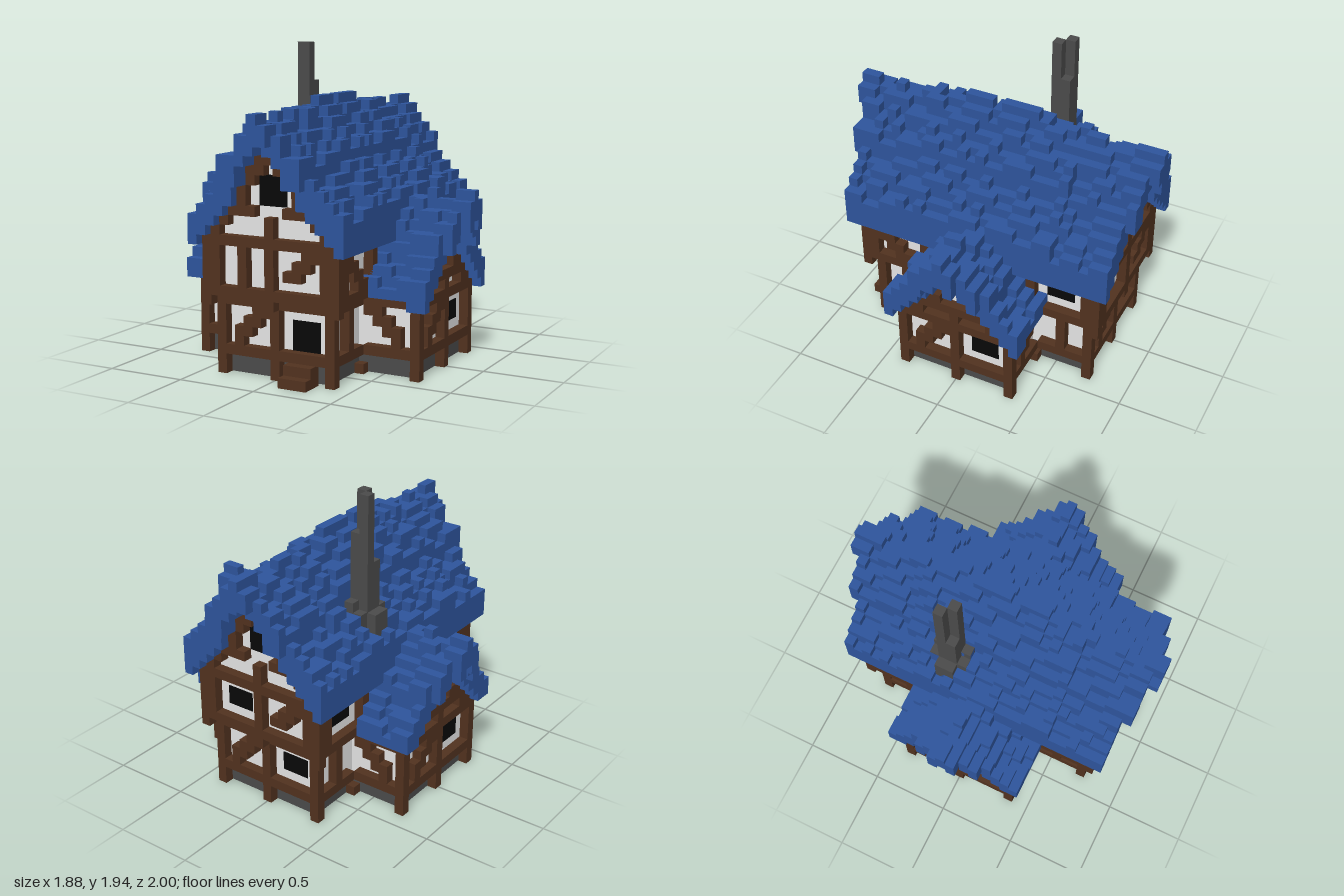
import * as THREE from 'three';
import { mergeGeometries } from 'three/addons/utils/BufferGeometryUtils.js';

const U = 2 / 33; // size of one block
const mat = (name, color) => Object.assign(new THREE.MeshStandardMaterial({ color }), { name });

// Box given by its limits, in blocks
function block(x0, x1, y0, y1, z0, z1) {
  return new THREE.BoxGeometry((x1 - x0) * U, (y1 - y0) * U, (z1 - z0) * U)
    .translate((x0 + x1) / 2 * U, (y0 + y1) / 2 * U, (z0 + z1) / 2 * U);
}

// Box centred on the vertical axis, by half widths
const core = (hx, y0, y1, hz) => block(-hx, hx, y0, y1, -hz, hz);
const mirror = rows => rows.map(r => [...r].reverse().join(''));

function seeded(seed) {
  return () => (seed = (seed * 16807) % 2147483647) / 2147483647;
}

// Facade patterns, top row first: # timber, W dark opening, . plaster
const lowerWindow = [
  '#############',
  '#...###.....#',
  '#..##.#.WWW.#',
  '#.##..#.WWW.#',
  '#.#...#.....#',
  '#############',
  '#.....#.....#',
  '#.....#.....#'];
const lowerDoor = lowerWindow.slice();
lowerDoor[4] = '#.#...#.WWW.#';
const wingWindow = ['######', '#.....', '#.WWW.', '#.WWW.', '#.....', '######', '#.....', '#.....'];
const wingBrace = ['######', '##...#', '.##..#', '..##.#', '...#.#', '######', '.....#', '.....#'];
const slats = ['######', '..#..#', '..#..#', '..#..#', '..#..#', '######', '.....#', '.....#'];
const gableTop = [
  '.......#.......',
  '......###......',
  '.....##.##.....',
  '.....#WWW#.....',
  '....#.WWW.#....',
  '....#.WWW.#....',
  '..####...####..',
  '..#....#....#..',
  '.#.....#.....#.',
  '###############'];
const gableFront = [...gableTop,
  '##..#..#...####',
  '##..#..#..##.##',
  '##..#..#.##..##',
  '##..#..#.....##',
  '###############',
  '#......#......#'];
const gableBack = [...gableTop,
  '##.....#...####',
  '##.WWW.#..##.##',
  '##.WWW.#.##..##',
  '##.....#.....##',
  '###############',
  '#......#......#'];
const upperRow = (l, r) => `##${l}#...........#${r}##`;
const upperSide = [
  upperRow('#....', '.....'),
  upperRow('##...', '.WWW.'),
  upperRow('.##..', '.WWW.'),
  upperRow('..##.', '.....'),
  '#'.repeat(27),
  '#......#...........#......#'];
const wingGable = [
  '......#......',
  '.....###.....',
  '....#...#....',
  '...#.....#...',
  '...##...##...',
  '..#########..',
  '.##...#...##.'];

export function createModel() {
  const model = new THREE.Group();
  model.name = 'timberHouse';
  const blue = mat('roofBlue', 0x2e559d), brown = mat('timberBrown', 0x52321f);
  const white = mat('plasterWhite', 0xe6e6e6), grey = mat('stoneGrey', 0x4b4b4b);
  const black = mat('openingBlack', 0x080808);

  function add(name, geos, material, parent = model) {
    const mesh = new THREE.Mesh(mergeGeometries(geos), material);
    mesh.name = name;
    parent.add(mesh);
  }

  // One timbered wall; turn counts quarter turns from the front
  function facade(name, turn, depth, x0, yTop, rows) {
    const group = new THREE.Group();
    group.name = name;
    group.rotation.y = turn * Math.PI / 2;
    const timber = [], panes = [];
    rows.forEach((row, r) => {
      const y = yTop - r;
      for (const m of row.matchAll(/#+|W+/g)) {
        const a = x0 + m.index - 0.5, b = a + m[0].length;
        if (m[0][0] === '#') timber.push(block(a, b, y, y + 1, depth - 1, depth));
        else panes.push(block(a, b, y, y + 1, depth - 1, depth - 0.92));
      }
    });
    add('timbers', timber, brown, group);
    if (panes.length) add('openings', panes, black, group);
    model.add(group);
  }

  for (let k = 0; k < 4; k++) {
    facade('lowerWall', k, 12.5, -6, 7, k ? lowerWindow : lowerDoor);
    const right = k % 2 ? slats : wingBrace;
    facade('lowerReturnLeft', k, 6.5, -12, 7, k ? mirror(right) : wingWindow);
    facade('lowerReturnRight', k, 6.5, 7, 7, right);
    if (k % 2) {
      facade('upperSideWall', k, 7.5, -13, 12, k === 1 ? upperSide : mirror(upperSide));
      facade('wingGable', k, 12.5, -6, 14, wingGable);
    } else {
      facade('mainGable', k, 13.5, -7, 22, k ? gableBack : gableFront);
    }
  }

  // Roof profiles: top and underside for each step away from the ridge
  const mainTop = [27, 26, 25, 24, 23, 21, 20, 19, 18];
  const mainUnder = [23, 22, 21, 19, 17, 16, 15, 14, 13];
  const wingTop = [18, 17, 16, 15, 14, 12, 11, 10];
  const wingUnder = [15, 14, 13, 11, 10, 9, 8, 7];

  // Plaster bodies, stepped up into the gables
  const plaster = [core(5.5, 2, 7.5, 11.5), core(11.5, 2, 7.5, 5.5), core(6.5, 7.5, 14, 12.5)];
  mainUnder.slice(0, 7).forEach((y, i) => plaster.push(core(i + 0.5, 13, y, 12.5)));
  wingUnder.slice(0, 6).forEach((y, i) => plaster.push(core(11.5, 7, y, i + 0.5)));
  add('plasterWalls', plaster, white);
  add('jettyBeams', [core(7.4, 7.95, 8.1, 13.4), core(6.5, 7, 8, 12.4), core(12.4, 7, 7.9, 6.4)], brown);

  // Stone base, dark floor and the post ends in it
  add('foundation', [core(5.5, 0.04, 2, 11.5), core(11.5, 0.04, 2, 5.5)], grey);
  add('floor', [core(5.3, 0.02, 0.1, 11.3), core(11.3, 0.02, 0.1, 5.3)], black);
  const posts = [];
  for (let x = -12; x <= 12; x += 6) {
    for (let z = -12; z <= 12; z += 6) {
      if (Math.min(Math.abs(x), Math.abs(z)) <= 6) posts.push(block(x - 0.5, x + 0.5, 0, 1, z - 0.5, z + 0.5));
    }
  }
  add('floorPosts', posts, brown);
  add('doorSteps', [block(1.5, 4.5, 0, 1, 12, 14.5), block(1.5, 4.5, 1, 2, 12, 13.5)], brown);

  // Rough shingles: runs of uneven height along each step of the roof
  const rand = seeded(77);
  const ridge = '110010011011222122221011011000111';
  const main = [];
  for (let x = -8; x <= 8; x++) {
    const i = Math.abs(x), end = i < 2 ? 16 : i < 5 ? 15 : 14;
    let run = 0, bump = 0;
    for (let z = -end; z <= end; z++) {
      if (run-- <= 0) {
        run = Math.floor(rand() * 3);
        bump = 1 - bump;
      }
      const lift = x === 0 ? Number(ridge[16 - z]) : bump + (Math.abs(z) < 9 ? 1 : 0);
      const over = Math.abs(z) === 16 ? 23 : Math.abs(z) === 15 ? 19 : 0;
      main.push(block(x - 0.5, x + 0.5, Math.max(mainUnder[i], over), mainTop[i] - 2 + lift, z - 0.5, z + 0.5));
    }
  }
  add('mainRoof', main, blue);

  const wing = [];
  for (const s of [-1, 1]) {
    for (let z = -7; z <= 7; z++) {
      const j = Math.abs(z), end = j < 2 ? 15 : j < 4 ? 14 : 13;
      let run = 0, bump = 0;
      for (let d = end; d >= 7; d--) {
        if (run-- <= 0) {
          run = Math.floor(rand() * 3);
          bump = 1 - bump;
        }
        const lift = z === 0 ? Number(ridge[15 - d]) : bump;
        const eave = j === 7 && s * d < 12 ? 8 : wingUnder[j];
        const over = d === 15 ? 14 : d === 14 ? 12 : 0;
        wing.push(block(s * d - 0.5, s * d + 0.5, Math.max(eave, over), wingTop[j] - 1 + lift, z - 0.5, z + 0.5));
      }
    }
  }
  add('wingRoofs', wing, blue);

  // Chimney: two tall flues set diagonally, with lower buttresses around
  add('chimney', [
    block(-5.5, -4.5, 15, 32, -3.5, -2.5),
    block(-6.5, -5.5, 15, 32, -4.5, -3.5),
    block(-5.5, -4.5, 15, 28, -4.5, -3.5),
    block(-6.5, -5.5, 15, 25, -3.5, -2.5),
    block(-7.5, -6.5, 15, 20, -4.5, -2.5),
    block(-5.5, -4.5, 15, 21.1, -5.5, -1.5),
    block(-6.5, -5.5, 15, 20.1, -5.5, -1.5)], grey);

  return model;
}
